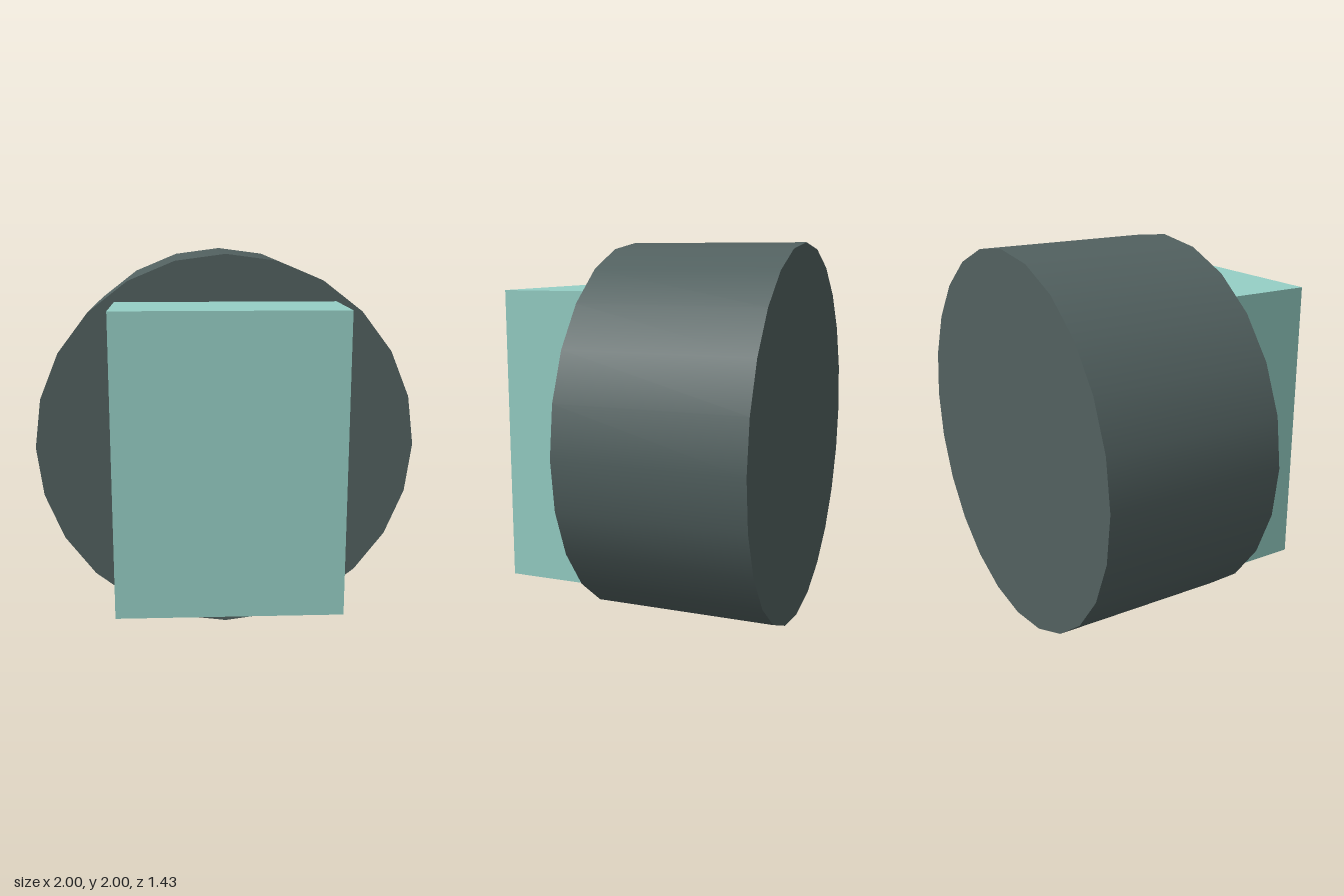
import * as THREE from 'three';

const BACK = -0.713, SEAM = 0.238, FRONT = 0.713;

export function createModel() {
  const model = new THREE.Group();

  const add = (name, geometry, color, z) => {
    const mesh = new THREE.Mesh(geometry, new THREE.MeshStandardMaterial({ color }));
    mesh.name = name;
    mesh.position.set(0, 1, z);
    model.add(mesh);
  };

  // Round drum lying along z, smooth wall with flat ends
  const drum = new THREE.CylinderGeometry(1, 1, SEAM - BACK, 24).rotateX(Math.PI / 2);
  add('drum', drum, 0x526160, (BACK + SEAM) / 2);

  // Upright block on the front of the drum
  const block = new THREE.BoxGeometry(1.14, 1.52, FRONT - SEAM);
  add('frontBlock', block, 0x96d0c6, (SEAM + FRONT) / 2);

  return model;
}
